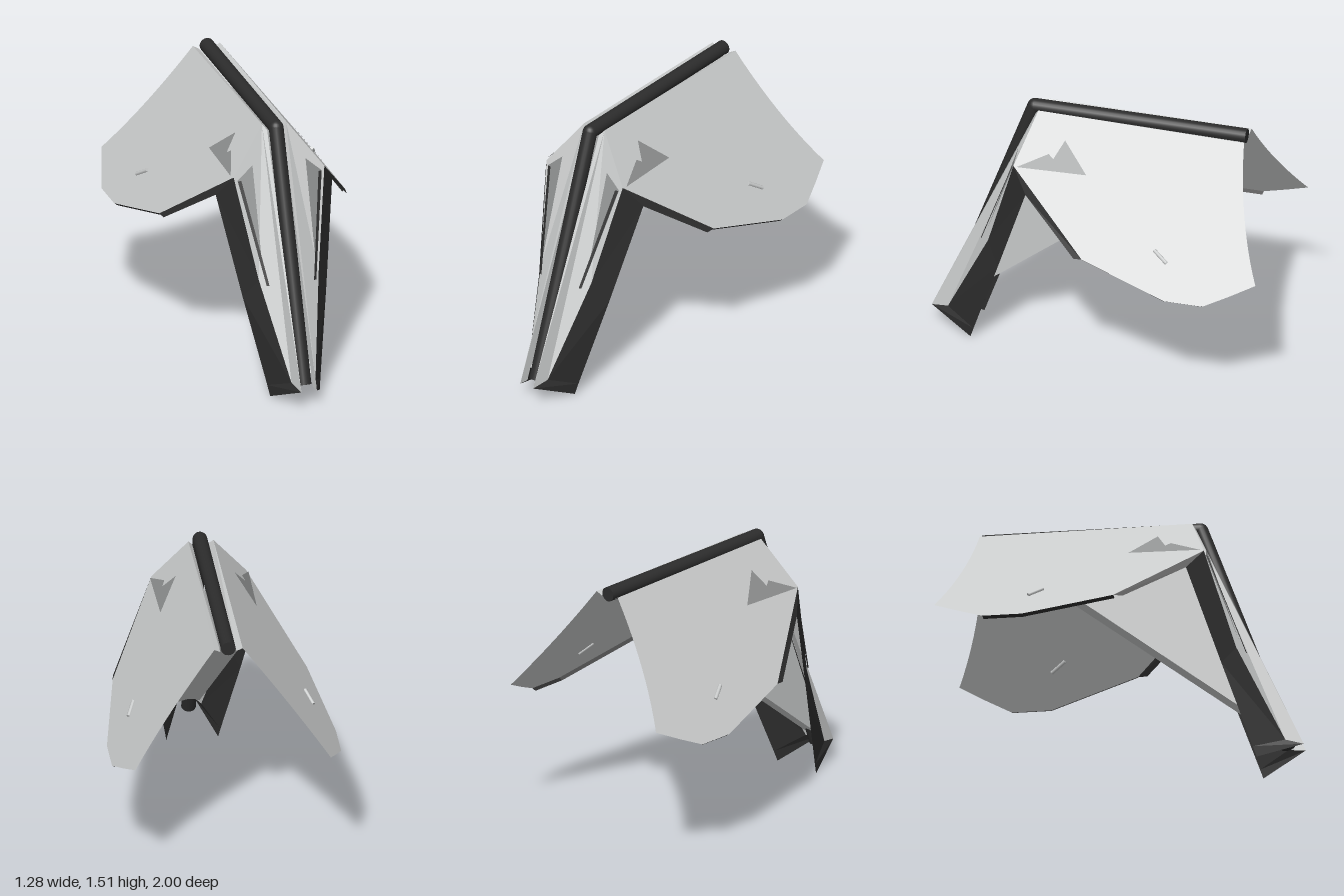
import * as THREE from 'three';

const mat = (name, color) => {
  const m = new THREE.MeshStandardMaterial({ color, side: THREE.DoubleSide });
  m.name = name;
  return m;
};

export function createModel() {
  const light = mat('lightGrey', 0xc8caca);
  const mid = mat('midGrey', 0x8c8e8e);
  const black = mat('charcoal', 0x2c2c2c);
  const model = new THREE.Group();

  // Both wings slope in one plane, so x follows from the height
  const slopeX = (y) => 0.07 + (1.48 - y) * 0.75;
  const onSlope = (z, y, lift = 0) => [slopeX(y) + lift, y, z];

  const add = (parent, name, geometry, material) => {
    const mesh = new THREE.Mesh(geometry, material);
    mesh.name = name;
    parent.add(mesh);
    return mesh;
  };
  const facets = (points, faces) => {
    const g = new THREE.BufferGeometry();
    g.setAttribute('position', new THREE.Float32BufferAttribute(faces.flat().flatMap((i) => points[i]), 3));
    g.computeVertexNormals();
    return g;
  };
  // Sheet filling a polygon, triangulated in its side projection
  const sheet = (points) => facets(points,
    THREE.ShapeUtils.triangulateShape(points.map((p) => new THREE.Vector2(-p[2], p[1])), []));
  // Strip between two polylines of equal length
  const band = (a, b) => {
    const n = a.length;
    const faces = [];
    for (let i = 0; i < n - 1; i++) faces.push([i, n + i, i + 1], [i + 1, n + i, n + i + 1]);
    return facets([...a, ...b], faces);
  };
  const rod = (parent, name, a, b, r, sides, material) => {
    const p = new THREE.Vector3(...a), q = new THREE.Vector3(...b);
    const mesh = add(parent, name, new THREE.CylinderGeometry(r, r, p.distanceTo(q), sides), material);
    mesh.position.copy(p).lerp(q, 0.5);
    mesh.quaternion.setFromUnitVectors(new THREE.Vector3(0, 1, 0), q.sub(p).normalize());
  };

  // Bent central spine
  const bend = [0, 1.467, 0.42];
  rod(model, 'topSpine', bend, [0, 1.467, -0.8], 0.041, 20, black);
  rod(model, 'frontSpine', [0, 0.115, 0.91], bend, 0.041, 20, black);
  add(model, 'spineBend', new THREE.SphereGeometry(0.041, 20, 12), black).position.set(...bend);

  // Key corners of one side
  const ridge = [0.07, 1.48, 0.38];
  const shoulder = [0.265, 1.22, 0.47];
  const knee = [0.175, 0.66, 0.64];
  const foot = [0.07, 0.13, 0.9];
  const toe = [0.045, 0.11, 1.0];
  const elbow = [0.34, 1.09, 0.38];

  const buildSide = (name) => {
    const side = new THREE.Group();
    side.name = name;

    // Wing with a curved trailing edge
    const trailing = new THREE.QuadraticBezierCurve(
      new THREE.Vector2(-0.805, 1.468), new THREE.Vector2(-0.85, 1.12), new THREE.Vector2(-1, 0.845));
    const lower = [[-0.86, 0.78], [-0.72, 0.72], [-0.5, 0.72], [0, 0.85]].map(([z, y]) => onSlope(z, y));
    add(side, 'wing', sheet([ridge, ...trailing.getPoints(10).map((p) => onSlope(p.x, p.y)),
      ...lower, shoulder]), light);

    // Dark rim under the wing's lower edge
    const rim = lower.slice(1);
    add(side, 'wingRim', band(rim, rim.map(([x, y, z]) => [x - 0.018, y - 0.012, z + 0.005])), black);
    add(side, 'wingLeadingEdge', band([shoulder, lower[3]], [elbow, [0.535, 0.845, 0.05]]), black);

    // Front panel from the spine out to the dark flange
    add(side, 'frontPanel', facets([ridge, shoulder, knee, foot, toe],
      [[0, 2, 1], [0, 3, 2], [0, 4, 3]]), light);
    add(side, 'frontFlange', band([shoulder, knee, foot, toe],
      [elbow, [0.245, 0.54, 0.565], [0.155, 0.06, 0.73], [0.145, 0, 0.75]]), black);

    // Folded lip beside the spine
    add(side, 'spineLip', band([[0.079, 1.468, -0.805], ridge, toe],
      [[0.045, 1.45, -0.8], [0.046, 1.45, 0.4], [0.04, 0.11, 0.94]]), light);

    // Inner keel wall
    add(side, 'keelWall', sheet([[0.07, 1.45, -0.76], [0.1, 1.44, 0.36], [0.06, 0.16, 0.89]]), light);

    // Gusset plates showing at the shoulder and front panel
    add(side, 'shoulderGusset', sheet([[0.2, 1.37], [0.05, 1.23], [0.45, 1.222], [0.28, 1.3], [0.25, 1.28]]
      .map(([z, y]) => onSlope(z, y, 0.012))), mid);
    add(side, 'frontGusset', sheet([[0.155, 1.28, 0.47], [0.245, 1.2, 0.478], [0.155, 0.72, 0.65]]), mid);
    add(side, 'gussetEdge', band([[0.245, 1.2, 0.483], [0.145, 0.64, 0.69]],
      [[0.225, 1.2, 0.487], [0.13, 0.64, 0.695]]), black);

    // Small peg on the wing
    rod(side, 'wingPeg', onSlope(-0.4, 0.94, 0.004), onSlope(-0.48, 0.89, 0.004), 0.011, 8, light);
    return side;
  };

  const left = buildSide('leftSide');
  const right = buildSide('rightSide');
  right.scale.x = -1;
  model.add(left, right);

  // Sloping underside closing the keel
  add(model, 'keelUnderside', band([[-0.07, 1.45, -0.76], [-0.06, 0.16, 0.89]],
    [[0.07, 1.45, -0.76], [0.06, 0.16, 0.89]]), light);

  return model;
}
